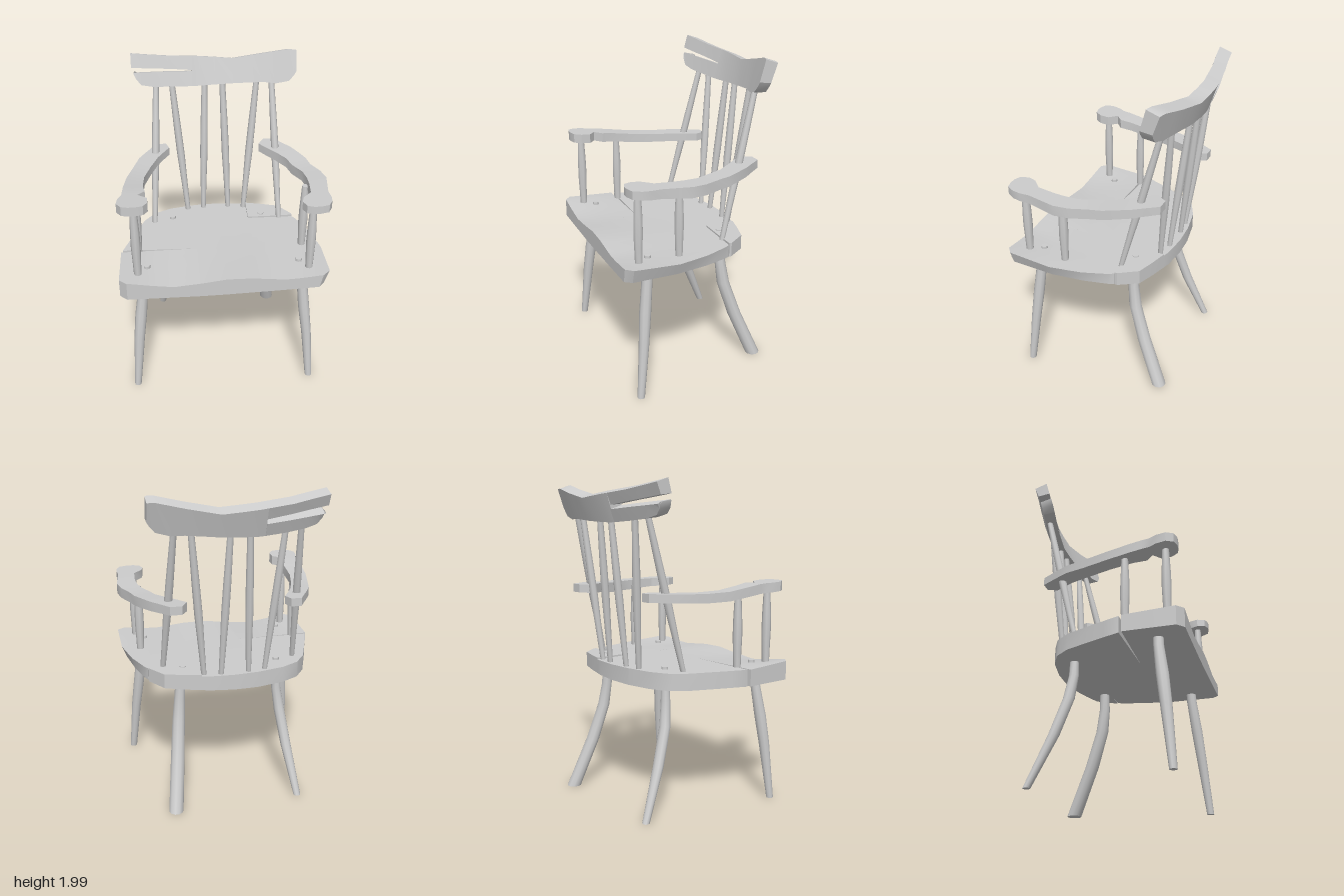
import * as THREE from 'three';
import { toCreasedNormals } from 'three/addons/utils/BufferGeometryUtils.js';

const material = new THREE.MeshStandardMaterial({ color: 0xcccccc });

// Piecewise linear lookup in [[x, value], ...]
function lerpTable(table, x) {
  if (x <= table[0][0]) return table[0][1];
  for (let i = 1; i < table.length; i++) {
    const [x0, y0] = table[i - 1], [x1, y1] = table[i];
    if (x <= x1) return y0 + (y1 - y0) * (x - x0) / (x1 - x0);
  }
  return table[table.length - 1][1];
}

// Closed skin through equal-sized rings of points, capped at both ends
function loft(name, rings, crease = 0.5) {
  const n = rings[0].length, tris = [];
  for (let i = 0; i + 1 < rings.length; i++) {
    for (let j = 0; j < n; j++) {
      const k = (j + 1) % n;
      const a = rings[i][j], b = rings[i][k], c = rings[i + 1][k], d = rings[i + 1][j];
      tris.push([a, b, c], [a, c, d]);
    }
  }
  const first = rings[0], last = rings[rings.length - 1];
  // cap as a strip, pairing points from both sides of the ring
  const cap = (r, flip) => {
    for (let i = 0, j = n - 1; i + 1 < j; i++, j--) {
      const quad = [[r[i], r[j], r[i + 1]], [r[i + 1], r[j], r[j - 1]]];
      if (j - 1 === i + 1) quad.pop();
      quad.forEach(([a, b, c]) => tris.push(flip ? [a, c, b] : [a, b, c]));
    }
  };
  cap(first, false);
  cap(last, true);
  // turn faces outward if the rings run the other way
  let volume = 0;
  const [A, B, C] = [0, 1, 2].map(() => new THREE.Vector3());
  for (const [a, b, c] of tris) volume += A.set(...a).dot(B.set(...b).cross(C.set(...c)));
  if (volume < 0) tris.forEach((t) => t.reverse());
  const geometry = new THREE.BufferGeometry();
  geometry.setAttribute('position', new THREE.Float32BufferAttribute(tris.flat(2), 3));
  const mesh = new THREE.Mesh(toCreasedNormals(geometry, crease), material);
  mesh.name = name;
  return mesh;
}

// Whittled stick through [x, y, z, radius] stations
function stick(name, stations, sides = 10) {
  const rings = stations.map(([x, y, z, r]) => Array.from({ length: sides }, (_, i) => {
    const a = (i / sides) * Math.PI * 2;
    return [x + r * Math.cos(a), y, z + r * Math.sin(a)];
  }));
  return loft(name, rings, 0.9);
}

// Stick with a swollen middle between two points
function spindle(name, p, q, r0, rMid, r1) {
  const at = (t, r) => [...p.map((v, i) => v + (q[i] - v) * t), r];
  return stick(name, [at(0, r0), at(0.25, (r0 + rMid) / 2), at(0.45, rMid), at(0.65, rMid * 0.95), at(1, r1)], 8);
}

// Seat plank with a hollowed front edge and split ends
function buildSeat() {
  const seat = new THREE.Group();
  seat.name = 'seat';
  const frontTop = [[-0.645, 0.91], [-0.59, 0.908], [-0.45, 0.885], [-0.32, 0.868], [-0.15, 0.885],
    [0, 0.906], [0.15, 0.905], [0.35, 0.885], [0.45, 0.89], [0.625, 0.91]];
  const bottom = [[-0.1, 0.79], [0.3, 0.805], [0.625, 0.82]];
  const frontZ = [[-0.645, 0.48], [-0.6, 0.52], [0.58, 0.52], [0.625, 0.48]];
  const backZ = [[-0.645, 0.2], [-0.635, 0.15], [-0.58, 0], [-0.5, -0.2], [-0.43, -0.29], [-0.32, -0.345],
    [-0.15, -0.38], [0, -0.39], [0.15, -0.38], [0.3, -0.345], [0.42, -0.31], [0.5, -0.2], [0.58, 0], [0.625, 0.2]];
  const top = (x, z) => {
    const t = THREE.MathUtils.clamp((0.52 - z) / 0.35, 0, 1);
    return THREE.MathUtils.lerp(lerpTable(frontTop, x), 0.893, t);
  };
  const panel = (name, xs, front, back, lift = 0) => {
    const rings = xs.map((x) => {
      const f = front(x), b = back(x), up = [], down = [];
      for (let k = 0; k <= 5; k++) {
        const z = f + (b - f) * k / 5;
        up.push([x, top(x, z) + lift, z]);
        down.unshift([x - 0.24 * Math.max(0, x - 0.5), lerpTable(bottom, x), z]);
      }
      return [...up, ...down];
    });
    seat.add(loft(name, rings));
  };
  const f = (x) => lerpTable(frontZ, x), b = (x) => lerpTable(backZ, x);
  const tip = -0.165, tipR = 0.2;
  const left = [-0.635, -0.6, -0.58, -0.5, -0.45, -0.43, -0.32, tip];
  const open = (x) => 0.009 * (x - tip) / (-0.635 - tip);
  panel('seatFrontLeft', [-0.645, ...left], f, (x) => 0.16 + open(x));
  panel('seatBackLeft', left, (x) => 0.16 - open(x), b);
  panel('seatMiddle', [tip, -0.15, 0, 0.15, tipR], f, b);
  const right = [tipR, 0.3, 0.35, 0.42, 0.5];
  panel('seatRight', [...right, 0.52, 0.58, 0.6, 0.625], f, (x) => Math.max(-0.18, b(x)));
  panel('seatSplinter', right, (x) => -0.18 - 0.03 * Math.max(0, x - 0.35), (x) => Math.min(b(x), -0.2), 0.01);
  // leg ends showing through the seat
  for (const [x, z] of [[-0.31, -0.22], [0.29, -0.22], [0.46, 0.335], [-0.48, 0.34]]) {
    seat.add(stick('legPeg', [[x, 0.85, z, 0.025], [x, 0.908, z, 0.02]], 7));
  }
  return seat;
}

// Curved top rail, leaning back, split at one end
function buildCrest() {
  const crest = new THREE.Group();
  crest.name = 'topRail';
  const topY = [[-0.53, 2], [-0.3, 1.965], [-0.1, 1.947], [0.11, 1.93], [0.3, 1.965], [0.47, 2], [0.505, 1.995]];
  const lowY = [[-0.515, 1.87], [-0.5, 1.835], [-0.47, 1.8], [-0.4, 1.782], [-0.28, 1.77], [-0.12, 1.76], [0, 1.765],
    [0.15, 1.772], [0.28, 1.785], [0.38, 1.78], [0.46, 1.8], [0.49, 1.835], [0.505, 1.86]];
  const bow = [[0, -0.455], [0.1, -0.453], [0.3, -0.42], [0.51, -0.367]];
  const panel = (name, xs, low, high) => crest.add(loft(name, xs.map((x) => {
    const z = lerpTable(bow, Math.abs(x)), l = low(x), h = high(x);
    const at = (y, depth, drop) => [x, y - drop, z + 0.26 * (1.97 - y) - depth];
    return [at(l, 0, -0.008), at(l, 0.075, 0), at(h, 0.078, 0.025), at(h, 0, 0)];
  })));
  const top = (x) => lerpTable(topY, x), low = (x) => lerpTable(lowY, x);
  const tip = -0.15, gap = (x) => (x - tip) / (-0.53 - tip);
  panel('railUpperLeft', [-0.53, -0.42, -0.3, tip], (x) => 1.86 + 0.048 * gap(x), top);
  panel('railLowerLeft', [-0.515, -0.5, -0.47, -0.4, -0.28, tip], low, (x) => 1.86 + 0.026 * gap(x));
  panel('railMain', [tip, -0.1, 0, 0.11, 0.2, 0.3, 0.38, 0.46, 0.49, 0.505], low, top);
  return crest;
}

// Arm through [z, x one side, x other side], with height tables along z
function buildArm(name, sections, topY, lowY) {
  return loft(name, sections.map(([z, x0, x1, skew = 0]) => {
    const t = lerpTable(topY, z), l = lerpTable(lowY, z);
    return [[x0, l, z], [x1, l, z + skew], [x1, t, z + skew], [x0, t, z]];
  }));
}

export function createModel() {
  const chair = new THREE.Group();
  chair.name = 'armchair';
  chair.add(buildSeat(), buildCrest());

  // Legs
  chair.add(
    stick('frontRightLeg', [[-0.5, 0.84, 0.345, 0.03], [-0.512, 0.74, 0.35, 0.031], [-0.535, 0.56, 0.372, 0.037],
      [-0.555, 0.38, 0.392, 0.034], [-0.585, 0.01, 0.427, 0.022]]),
    stick('frontLeftLeg', [[0.478, 0.86, 0.345, 0.03], [0.485, 0.76, 0.35, 0.033], [0.505, 0.56, 0.372, 0.036],
      [0.53, 0.36, 0.392, 0.032], [0.56, 0.01, 0.427, 0.023]]),
    stick('backRightLeg', [[-0.31, 0.84, -0.22, 0.025], [-0.315, 0.7, -0.22, 0.03], [-0.335, 0.55, -0.24, 0.035],
      [-0.365, 0.32, -0.315, 0.034], [-0.412, 0.01, -0.445, 0.023]]),
    stick('backLeftLeg', [[0.305, 0.86, -0.22, 0.03], [0.315, 0.7, -0.22, 0.034], [0.328, 0.55, -0.24, 0.04],
      [0.352, 0.32, -0.315, 0.044], [0.39, 0.01, -0.445, 0.046]]),
  );

  // Back spindles: bottom x and z, top x and z
  for (const [x0, z0, x1, z1] of [
    [-0.432, -0.175, -0.38, -0.405], [-0.2, -0.335, -0.285, -0.42], [-0.095, -0.35, -0.07, -0.44],
    [0.078, -0.35, 0.042, -0.44], [0.18, -0.335, 0.265, -0.42], [0.41, -0.175, 0.355, -0.405],
  ]) chair.add(spindle('backSpindle', [x0, 0.87, z0], [x1, 1.82, z1], 0.016, 0.025, 0.018));

  // Arm posts
  for (const [x, z, y] of [[-0.535, 0.41, 1.37], [-0.535, 0.16, 1.34], [0.51, 0.41, 1.33], [0.507, 0.155, 1.32]]) {
    chair.add(spindle('armPost', [x, 0.87, z], [x, y, z], 0.022, 0.029, 0.02));
  }

  // Arms
  chair.add(
    buildArm('rightArm', [
      [0.485, -0.56, -0.52], [0.473, -0.6, -0.475], [0.43, -0.628, -0.45], [0.37, -0.622, -0.452],
      [0.325, -0.602, -0.51], [0.28, -0.6, -0.467], [0.2, -0.597, -0.48], [0.05, -0.583, -0.475],
      [-0.1, -0.545, -0.435], [-0.22, -0.51, -0.39], [-0.3, -0.465, -0.345], [-0.35, -0.435, -0.315], [-0.41, -0.4, -0.335],
    ], [[-0.41, 1.362], [-0.1, 1.355], [0.05, 1.362], [0.28, 1.395], [0.49, 1.41]],
    [[-0.41, 1.312], [-0.1, 1.3], [0.05, 1.305], [0.28, 1.335], [0.49, 1.352]]),
    buildArm('leftArm', [
      [0.485, 0.54, 0.5], [0.47, 0.59, 0.46], [0.42, 0.615, 0.442], [0.37, 0.62, 0.455],
      [0.31, 0.614, 0.51], [0.2, 0.63, 0.52], [0.13, 0.64, 0.52], [0.04, 0.622, 0.508], [-0.06, 0.577, 0.458],
      [-0.14, 0.56, 0.435], [-0.22, 0.522, 0.38], [-0.29, 0.485, 0.325], [-0.35, 0.44, 0.28], [-0.42, 0.39, 0.32],
    ], [[-0.42, 1.37], [-0.25, 1.365], [-0.05, 1.352], [0.13, 1.358], [0.3, 1.362], [0.49, 1.366]],
    [[-0.42, 1.318], [-0.25, 1.305], [-0.05, 1.288], [0.13, 1.292], [0.3, 1.305], [0.49, 1.318]]),
  );
  return chair;
}
